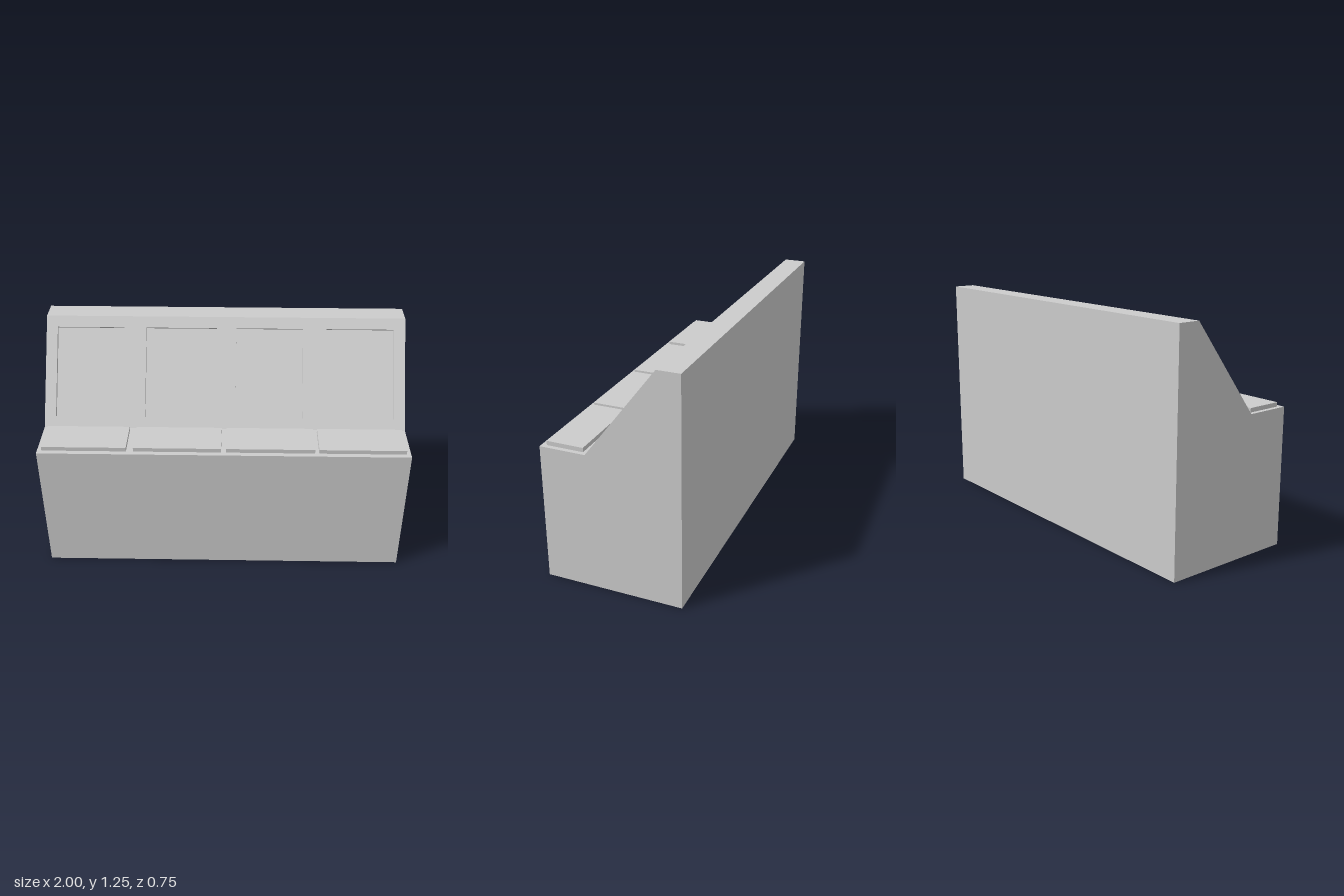
import * as THREE from 'three';

const material = new THREE.MeshStandardMaterial({ color: 0xcccccc });

function addMesh(parent, geometry, name) {
  const mesh = new THREE.Mesh(geometry, material);
  mesh.name = name;
  parent.add(mesh);
  return mesh;
}

// Left and right edges of the four workstations
const screenSpans = [[-0.938, -0.564], [-0.441, -0.048], [0.061, 0.433], [0.564, 0.936]];
const keyboardSpans = [[-0.976, -0.522], [-0.484, -0.013], [0.013, 0.489], [0.511, 0.976]];

export function createModel() {
  const model = new THREE.Group();
  model.name = 'controlConsole';

  // Sloping face, from the back of the desk to the front of the top
  const low = new THREE.Vector2(0.127, 0.752);   // (z, y)
  const high = new THREE.Vector2(-0.253, 1.25);
  const recess = 0.022;
  const slope = high.clone().sub(low);
  const length = slope.length();
  const tilt = Math.atan2(-slope.x, slope.y);
  const inward = new THREE.Vector2(-Math.cos(tilt), -Math.sin(tilt)).multiplyScalar(recess);
  const lowIn = low.clone().add(inward);
  const highIn = high.clone().add(inward);

  // Cabinet: side profile in (z, y), notched to receive the screen panel
  const profile = new THREE.Shape([
    new THREE.Vector2(0.375, 0), new THREE.Vector2(0.375, 0.752),
    low, lowIn, highIn, high,
    new THREE.Vector2(-0.375, 1.25), new THREE.Vector2(-0.375, 0),
  ]);
  const cabinet = new THREE.ExtrudeGeometry(profile, { depth: 2, bevelEnabled: false });
  cabinet.rotateY(-Math.PI / 2).translate(1, 0, 0);
  addMesh(model, cabinet, 'cabinet');

  // Tilted panel with a window for each recessed screen
  const panelGroup = new THREE.Group();
  panelGroup.name = 'screenPanel';
  panelGroup.position.set(0, lowIn.y, lowIn.x);
  panelGroup.rotation.x = -tilt;
  model.add(panelGroup);

  const bottom = (0.803 - low.y) / Math.cos(tilt);
  const top = (1.2 - low.y) / Math.cos(tilt);
  const frame = new THREE.Shape([
    new THREE.Vector2(-1, 0), new THREE.Vector2(1, 0),
    new THREE.Vector2(1, length), new THREE.Vector2(-1, length),
  ]);
  for (const [x0, x1] of screenSpans) {
    frame.holes.push(new THREE.Path([
      new THREE.Vector2(x0, bottom), new THREE.Vector2(x0, top),
      new THREE.Vector2(x1, top), new THREE.Vector2(x1, bottom),
    ]));
    const screen = addMesh(panelGroup, new THREE.PlaneGeometry(x1 - x0, top - bottom), 'screen');
    screen.position.set((x0 + x1) / 2, (bottom + top) / 2, 0.001);
  }
  addMesh(panelGroup, new THREE.ExtrudeGeometry(frame, { depth: recess, bevelEnabled: false }), 'screenFrame');

  // Raised keyboards along the desk
  for (const [x0, x1] of keyboardSpans) {
    const keyboard = addMesh(model, new THREE.BoxGeometry(x1 - x0, 0.03, 0.2), 'keyboard');
    keyboard.position.set((x0 + x1) / 2, 0.76, 0.248);
  }

  return model;
}
